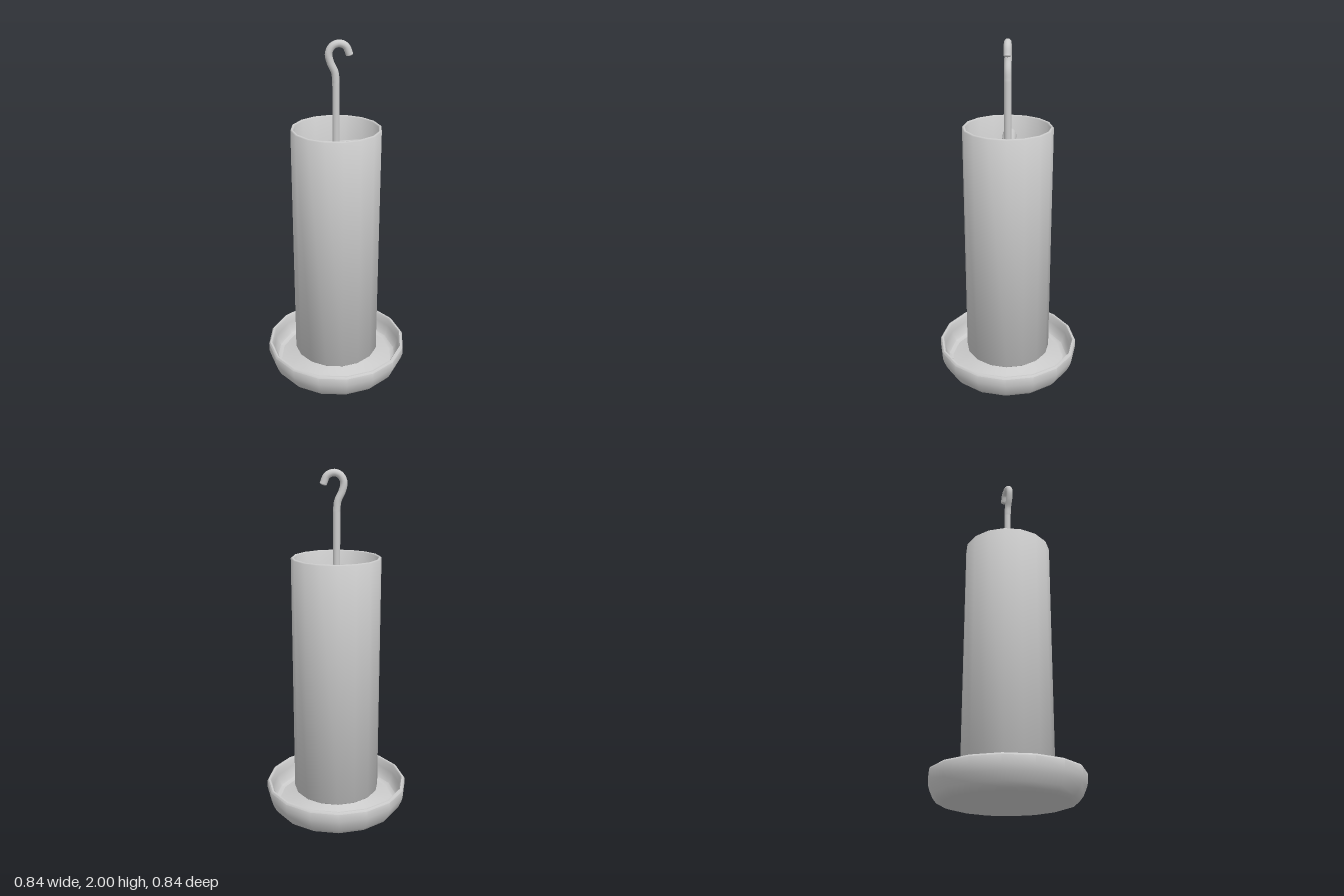
import * as THREE from 'three';
import { toCreasedNormals } from 'three/addons/utils/BufferGeometryUtils.js';

const SIDES = 16;
const material = new THREE.MeshStandardMaterial({ color: 0xcccccc });

function add(group, name, geometry) {
  const mesh = new THREE.Mesh(geometry, material);
  mesh.name = name;
  group.add(mesh);
  return mesh;
}

// Revolve a list of [radius, height] pairs
function lathe(profile, crease) {
  const geometry = new THREE.LatheGeometry(profile.map(([r, y]) => new THREE.Vector2(r, y)), SIDES);
  return crease ? toCreasedNormals(geometry, crease) : geometry;
}

export function createModel() {
  const group = new THREE.Group();
  group.name = 'hangingFeeder';

  // Shallow dish: underside, rounded wall, rim, inner wall and floor
  add(group, 'tray', lathe([
    [0, 0], [0.34, 0], [0.372, 0.01], [0.392, 0.035], [0.412, 0.08], [0.42, 0.11],
    [0.42, 0.155], [0.412, 0.165], [0.402, 0.165], [0.395, 0.155],
    [0.393, 0.11], [0.382, 0.075], [0.368, 0.045], [0.345, 0.035], [0.2, 0.035],
  ], 0.75));

  // Cone that spreads the seed outwards from the middle of the floor
  add(group, 'spreaderCone', lathe([[0.345, 0.035], [0.23, 0.06], [0.12, 0.11], [0, 0.19]]));

  // Open thin-walled tube, with softened top and bottom lips
  add(group, 'tube', lathe([
    [0.235, 0.125], [0.24, 0.12], [0.247, 0.12], [0.252, 0.125],
    [0.252, 1.52], [0.247, 1.526], [0.24, 1.526], [0.235, 1.52], [0.235, 0.125],
  ], 0.9));

  // Crossbar spanning the tube just below its top
  const bar = add(group, 'crossbar', new THREE.CylinderGeometry(0.04, 0.04, 0.476, 16));
  bar.rotation.z = Math.PI / 2;
  bar.position.set(0, 1.41, -0.003);

  // Hanger: straight rod that swings aside and curls into a hook
  const path = new THREE.CurvePath();
  const v = (x, y) => new THREE.Vector3(x, y, 0);
  path.add(new THREE.LineCurve3(v(-0.002, 1.41), v(-0.002, 1.78)));
  path.add(new THREE.CatmullRomCurve3([
    v(-0.002, 1.78), v(-0.008, 1.83), v(-0.032, 1.883), v(-0.041, 1.93),
    v(-0.022, 1.967), v(0.014, 1.98), v(0.05, 1.965), v(0.07, 1.922),
  ]));
  add(group, 'hook', new THREE.TubeGeometry(path, 60, 0.02, 12));

  // Rounded cap closing the tip of the hook
  const tip = add(group, 'hookTip', new THREE.SphereGeometry(0.02, 12, 8));
  tip.scale.y = 0.4;
  tip.rotation.z = 0.3;
  tip.position.set(0.07, 1.922, 0);

  return group;
}
